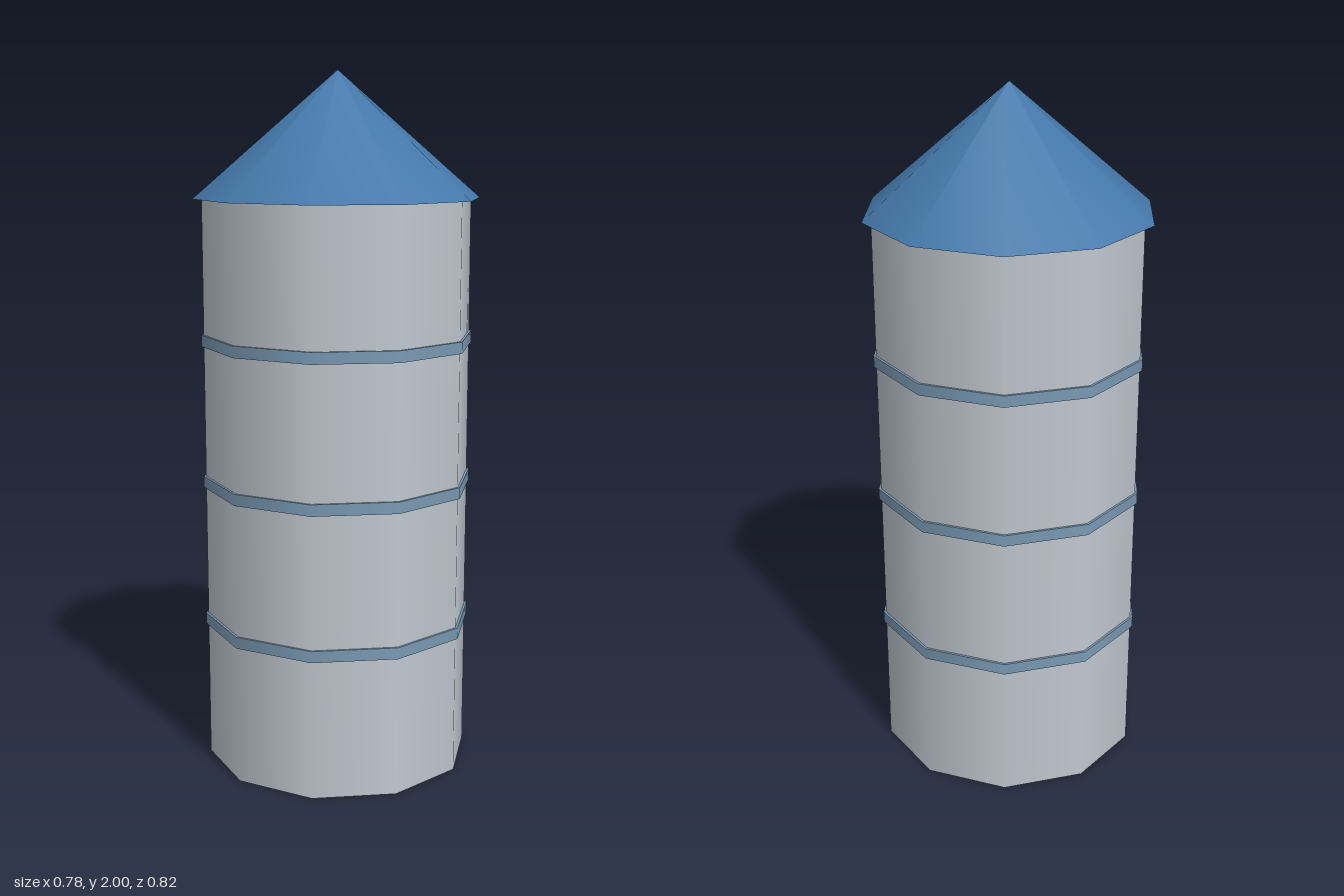
import * as THREE from 'three';

const SIDES = 10;

function material(name, color) {
  const m = new THREE.MeshStandardMaterial({ color });
  m.name = name;
  return m;
}

export function createModel() {
  const group = new THREE.Group();
  group.name = 'silo';
  const wall = material('paleGrey', 0xc0c8d0);
  const steel = material('steelBlue', 0x7a9ab4);
  const blue = material('roofBlue', 0x4478aa);

  // Adds a ten-sided upright part spanning y0 to y1
  function addPart(name, rTop, rBottom, y0, y1, mat) {
    const geometry = new THREE.CylinderGeometry(rTop, rBottom, y1 - y0, SIDES);
    const mesh = new THREE.Mesh(geometry, mat);
    mesh.name = name;
    mesh.position.y = (y0 + y1) / 2;
    group.add(mesh);
  }

  // Storage body
  addPart('body', 0.385, 0.385, 0, 1.645, wall);

  // Hoops around the body
  [0.418, 0.832, 1.245].forEach((y, i) => {
    addPart(`hoop${i + 1}`, 0.392, 0.392, y - 0.0165, y + 0.0165, steel);
  });

  // Conical roof with a slight overhang
  const roof = new THREE.Mesh(new THREE.ConeGeometry(0.411, 0.355, SIDES), blue);
  roof.name = 'roof';
  roof.position.y = 1.645 + 0.355 / 2;
  group.add(roof);

  return group;
}
